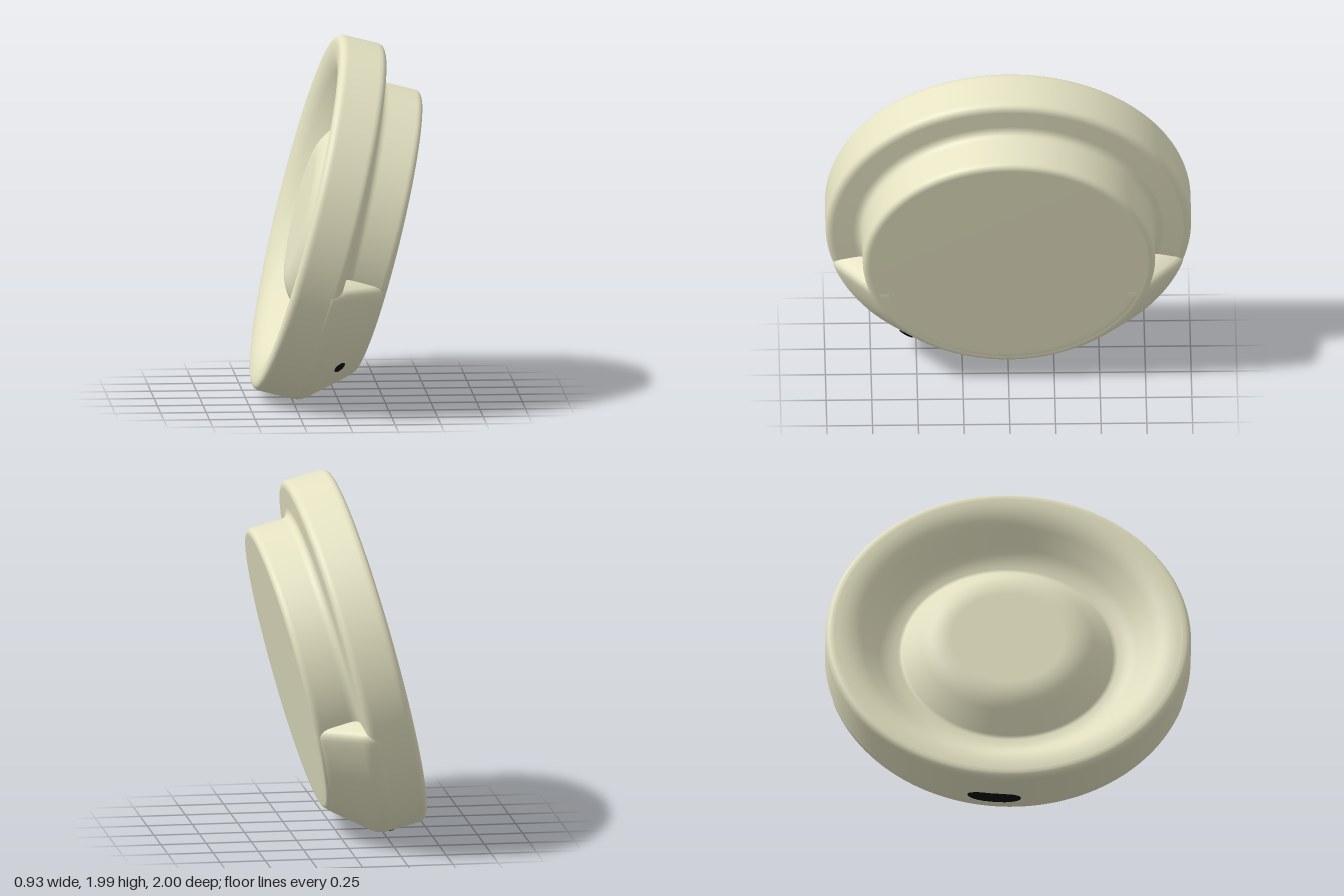
import * as THREE from 'three';
import { toCreasedNormals } from 'three/addons/utils/BufferGeometryUtils.js';

const shell = new THREE.MeshStandardMaterial({ color: 0xe4e2c2 });
const dark = new THREE.MeshStandardMaterial({ color: 0x0c0c0c });

// Polyline of [radius, height, cornerRadius] with the corners rounded off
function roundedPath(pts) {
  const out = [];
  pts.forEach(([x, y, rad], i) => {
    const p = new THREE.Vector2(x, y);
    if (!rad) { out.push(p); return; }
    const toward = (q) => new THREE.Vector2(q[0], q[1]).sub(p).setLength(rad).add(p);
    const bend = new THREE.QuadraticBezierCurve(toward(pts[i - 1]), p, toward(pts[i + 1]));
    out.push(...bend.getPoints(8));
  });
  return out;
}

// Wedge that fills the step below a level cut; its ends are soft ledges sloping outward
function skirtGeometry() {
  const profile = roundedPath([
    [0.994, 0.19], [1.001, 0.215], [1.001, 0.268, 0.045], [0.785, 0.521, 0.05], [0.7, 0.521],
  ]);
  const core = new THREE.Vector2(0.78, 0.25);
  const cap = [[0, 0.185], [0.5, 0.187], [0.8, 0.19], [0.9, 0.197], [0.96, 0.21], [0.99, 0.225], [1, 0.245]];
  const rows = cap.map(([k, level]) => [k, level, -1]);
  const n = 64;
  for (let i = 1; i < n; i++) rows.push([1, 0.245, -1 + (2 * i) / n]);
  rows.push(...cap.map(([k, level]) => [k, level, 1]).reverse());

  const pos = [], index = [], m = profile.length;
  rows.forEach(([k, level, t], i) => {
    profile.forEach((p, j) => {
      const r = core.x + (p.x - core.x) * k;
      const h = core.y + (p.y - core.y) * k;
      const drop = 0.25 * Math.max(0, r - core.x);
      const a = t * Math.acos((level + drop) / r);
      pos.push(r * Math.cos(a), h, r * Math.sin(a));
      if (i && j) {
        const b = i * m + j, c = b - m;
        index.push(c - 1, c, b - 1, c, b, b - 1);
      }
    });
  });
  const g = new THREE.BufferGeometry();
  g.setAttribute('position', new THREE.Float32BufferAttribute(pos, 3));
  g.setIndex(index);
  return toCreasedNormals(g, 0.8);
}

// Dark oval opening lying on the surface: angle round the axis, tilt toward the front
function port(name, angle, radius, height, tilt, size) {
  const mesh = new THREE.Mesh(new THREE.SphereGeometry(1, 24, 16), dark);
  mesh.name = name;
  mesh.scale.set(...size);
  mesh.position.set(radius * Math.cos(angle), height, radius * Math.sin(angle));
  mesh.rotation.set(0, -angle, tilt, 'YZX');
  return mesh;
}

export function createModel() {
  const model = new THREE.Group();
  model.name = 'tiltedDisc';

  // Disc is made around its own axis (y = toward the front plate, x = downward), then tilted
  const disc = new THREE.Group();
  disc.name = 'disc';
  disc.rotation.z = -THREE.MathUtils.degToRad(104.2);
  disc.position.set(-0.23, 1.023, 0);
  model.add(disc);

  // Hub, groove, dish, rim, step and front plate in one profile
  const profile = roundedPath([
    [0, 0.03], [0.4, 0.03, 0.09], [0.585, 0.18, 0.015], [0.66, 0.17, 0.06],
    [0.865, 0, 0.09], [1, 0, 0.045], [1, 0.264, 0.045], [0.8, 0.274, 0.05],
    [0.8, 0.52, 0.04], [0, 0.52],
  ]);
  const body = new THREE.Mesh(new THREE.LatheGeometry(profile, 128), shell);
  body.name = 'body';
  disc.add(body);

  const skirt = new THREE.Mesh(skirtGeometry(), shell);
  skirt.name = 'lowerSkirt';
  disc.add(skirt);

  disc.add(port('smallPort', 0.67, 0.898, 0.392, 0.71, [0.008, 0.032, 0.045]));
  disc.add(port('bottomSlot', -0.08, 0.986, 0.195, 0, [0.019, 0.055, 0.15]));
  return model;
}
